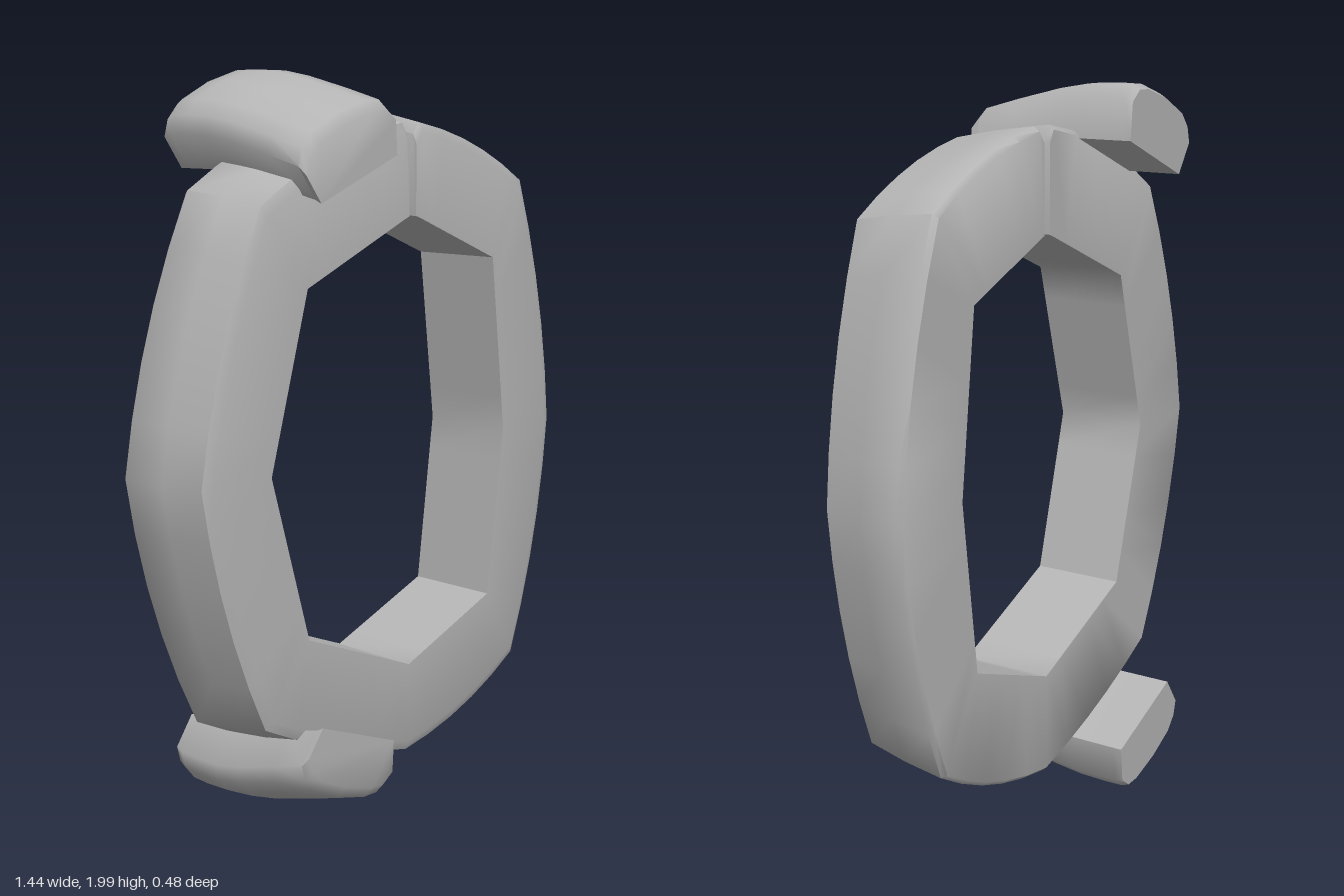
import * as THREE from 'three';
import { toCreasedNormals } from 'three/addons/utils/BufferGeometryUtils.js';

// Skin a list of equal-length cross-sections and close both ends
function loft(sections, crease = 0.9) {
  const n = sections[0].length;
  const index = [];
  for (let i = 0; i < sections.length - 1; i++) {
    for (let j = 0; j < n; j++) {
      const k = (j + 1) % n;
      const a = i * n + j, b = i * n + k, c = b + n, d = a + n;
      index.push(a, b, c, a, c, d);
    }
  }
  const last = (sections.length - 1) * n;
  for (let j = 1; j < n - 1; j++) {
    index.push(0, j + 1, j);
    index.push(last, last + j, last + j + 1);
  }
  const geometry = new THREE.BufferGeometry();
  geometry.setAttribute('position', new THREE.Float32BufferAttribute(sections.flat(2), 3));
  geometry.setIndex(index);
  return toCreasedNormals(geometry, crease);
}

// Split ring: outer and inner corner rails, outer edges bowed between corners
function ringGeometry() {
  // outer x, outer y, inner x, inner y, bow of the edge that follows
  const corners = [
    [0.048, 1.87, 0.048, 1.62, 0],
    [0.03, 1.9, 0.035, 1.615, 0.03],
    [-0.5, 1.7, -0.33, 1.46, 0.03],
    [-0.72, 1, -0.46, 1, 0.03],
    [-0.5, 0.31, -0.33, 0.55, 0.02],
    [0.06, 0.1, 0.06, 0.39, 0.03],
    [0.55, 0.28, 0.4, 0.52, 0.03],
    [0.72, 1, 0.46, 1, 0.03],
    [0.55, 1.73, 0.4, 1.49, 0.025],
    [0.1, 1.9, 0.09, 1.615, 0],
    [0.075, 1.87, 0.075, 1.62, 0],
  ];
  // inset from the outer rail, z
  const rim = [[0.065, 0.18], [0.038, 0.168], [0.015, 0.05], [0, -0.07], [0.012, -0.085]];
  const sections = [];
  const addSection = (o, i) => {
    const d = o.clone().sub(i).normalize();
    sections.push([
      [i.x, i.y, 0.18],
      ...rim.map(([inset, z]) => [o.x - d.x * inset, o.y - d.y * inset, z]),
      [i.x, i.y, -0.085],
    ]);
  };
  for (let s = 0; s < corners.length; s++) {
    const [ox, oy, ix, iy, bow] = corners[s];
    const o = new THREE.Vector2(ox, oy), i = new THREE.Vector2(ix, iy);
    addSection(o, i);
    if (!bow) continue;
    const next = corners[s + 1];
    const o2 = new THREE.Vector2(next[0], next[1]), i2 = new THREE.Vector2(next[2], next[3]);
    const along = o2.clone().sub(o).normalize();
    const out = new THREE.Vector2(along.y, -along.x);
    if (out.dot(o.clone().sub(i)) < 0) out.negate();
    for (let k = 1; k < 5; k++) {
      const t = k / 5;
      const p = o.clone().lerp(o2, t).addScaledVector(out, 4 * bow * t * (1 - t));
      addSection(p, i.clone().lerp(i2, t));
    }
  }
  return loft(sections);
}

// Rounded lug, swept from front to back and lifting outward toward the back
function lugGeometry(mirrored) {
  // along the ring, away from the ring
  const profile = [[0, 0], [-0.022, 0.105], [0.005, 0.145], [0.05, 0.17], [0.15, 0.178],
    [0.255, 0.168], [0.3, 0.15], [0.324, 0.105], [0.296, 0]];
  // z, base lift, height scale
  const stations = [[0.238, 0, 0.8], [0.22, 0.01, 0.92], [0.12, 0.035, 0.96], [0, 0.068, 0.96],
    [-0.08, 0.08, 0.98], [-0.16, 0.08, 1], [-0.215, 0.08, 0.99], [-0.24, 0.08, 0.91]];
  const sections = stations.map(([z, lift, scale]) => {
    const section = profile.map(([t, h]) => {
      const r = lift + h * scale;
      const x = -0.34 + 0.928 * t - 0.372 * r;
      const y = 1.672 + 0.372 * t + 0.928 * r;
      return [x, mirrored ? 2 - y : y, z];
    });
    return mirrored ? section.reverse() : section;
  });
  return loft(sections);
}

export function createModel() {
  const model = new THREE.Group();
  model.name = 'splitRingClamp';
  const grey = new THREE.MeshStandardMaterial({ color: 0xb4b4b4 });
  grey.name = 'plain grey';

  const add = (name, geometry) => {
    const mesh = new THREE.Mesh(geometry, grey);
    mesh.name = name;
    model.add(mesh);
  };
  add('splitRing', ringGeometry());
  add('upperLug', lugGeometry(false));
  add('lowerLug', lugGeometry(true));
  return model;
}
